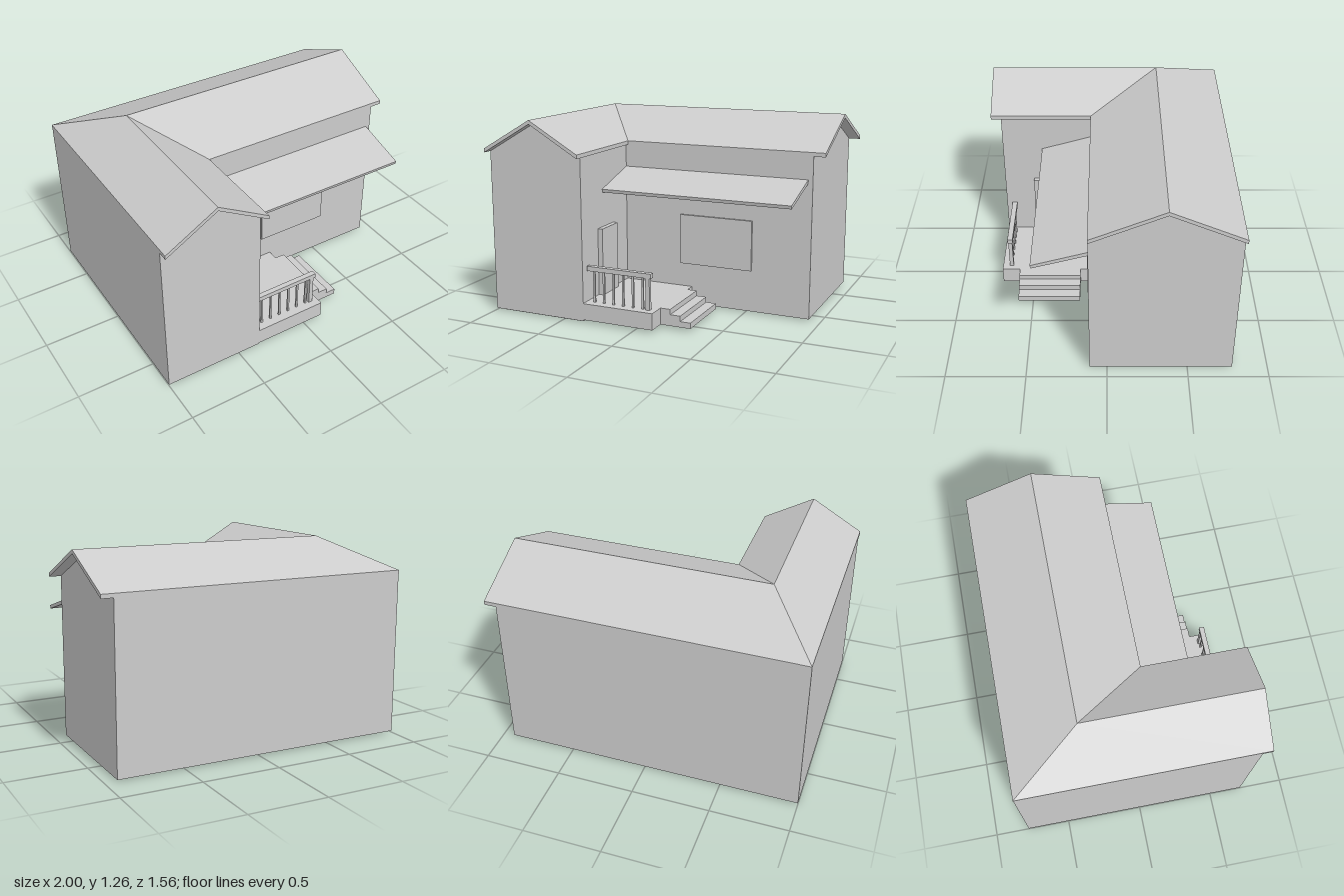
import * as THREE from 'three';

const grey = new THREE.MeshStandardMaterial({ color: 0xcccccc, flatShading: true });

export function createModel() {
  const house = new THREE.Group();
  house.name = 'house';

  const add = (name, geometry, parent = house) => {
    const mesh = new THREE.Mesh(geometry, grey);
    mesh.name = name;
    parent.add(mesh);
    return mesh;
  };

  // Box given by its limits on each axis
  const box = (name, [x0, x1], [y0, y1], [z0, z1], parent) =>
    add(name, new THREE.BoxGeometry(x1 - x0, y1 - y0, z1 - z0), parent)
      .position.set((x0 + x1) / 2, (y0 + y1) / 2, (z0 + z1) / 2);

  // L-shaped sweep: a ring of [lane, y] runs from the front gable, round the
  // mitred corner, to the side gable. Lanes: 0 outer, 1 ridge, 2 inner.
  const sweepL = (ring, caps, laneX, laneZ, frontZ, sideX) => {
    const stations = [
      ring.map(([l, y]) => [laneX[l], y, frontZ]),
      ring.map(([l, y]) => [laneX[l], y, laneZ[l]]),
      ring.map(([l, y]) => [sideX, y, laneZ[l]]),
    ];
    const pos = [];
    const tri = (a, b, c) => pos.push(...a, ...b, ...c);
    for (let s = 0; s < 2; s++) {
      const A = stations[s], B = stations[s + 1];
      for (let i = 0; i < ring.length; i++) {
        const j = (i + 1) % ring.length;
        tri(A[i], A[j], B[j]);
        tri(A[i], B[j], B[i]);
      }
    }
    for (const [a, b, c] of caps) {
      tri(stations[0][c], stations[0][b], stations[0][a]);
      tri(stations[2][a], stations[2][b], stations[2][c]);
    }
    const g = new THREE.BufferGeometry();
    g.setAttribute('position', new THREE.Float32BufferAttribute(pos, 3));
    g.computeVertexNormals();
    return g;
  };

  // Walls with both gables
  add('walls', sweepL(
    [[0, 0.01], [0, 1.045], [1, 1.237], [2, 1.045], [2, 0.01]],
    [[0, 1, 2], [0, 2, 3], [0, 3, 4]],
    [-1, -0.667, -0.352], [-0.778, -0.335, 0.11], 0.713, 0.925));

  // Roof sheet, overhanging at the gables
  add('roof', sweepL(
    [[0, 1.045], [0, 1.07], [1, 1.262], [2, 1.07], [2, 1.045], [1, 1.237]],
    [[0, 1, 2], [0, 2, 5], [5, 2, 3], [5, 3, 4]],
    [-1, -0.667, -0.337], [-0.78, -0.335, 0.11], 0.778, 1));

  // Inset foundation under the walls
  const slab = new THREE.Shape([
    [-0.965, 0.735], [-0.965, -0.69], [-0.39, -0.69],
    [-0.39, -0.07], [0.875, -0.07], [0.875, 0.735],
  ].map(([x, y]) => new THREE.Vector2(x, y)));
  const slabGeo = new THREE.ExtrudeGeometry(slab, { depth: 0.012, bevelEnabled: false });
  slabGeo.rotateX(-Math.PI / 2);
  add('foundation', slabGeo);

  // Sloping awning: side profile in z and y, drawn out along x
  const awning = new THREE.Shape([
    [0.11, 0.875], [0.11, 0.9], [0.445, 0.803], [0.44, 0.782],
  ].map(([z, y]) => new THREE.Vector2(-z, y)));
  const awningGeo = new THREE.ExtrudeGeometry(awning, { depth: 1.247, bevelEnabled: false });
  awningGeo.rotateY(Math.PI / 2);
  add('awning', awningGeo).position.x = -0.352;

  // Door and window
  box('door', [-0.36, -0.32], [0.125, 0.56], [0.305, 0.51]);
  box('window', [0.047, 0.54], [0.282, 0.61], [0.1, 0.124]);

  // Porch floor and steps
  const porch = new THREE.Group();
  porch.name = 'porch';
  house.add(porch);
  box('porchFloor', [-0.352, 0.125], [0.02, 0.126], [0.1, 0.716], porch);
  const stairs = new THREE.Shape([
    [0.125, 0.02], [0.325, 0.02], [0.325, 0.057], [0.257, 0.057],
    [0.257, 0.092], [0.19, 0.092], [0.19, 0.126], [0.125, 0.126],
  ].map(([x, y]) => new THREE.Vector2(x, y)));
  add('steps', new THREE.ExtrudeGeometry(stairs, { depth: 0.415, bevelEnabled: false }), porch)
    .position.z = 0.182;

  // Railing
  box('handrail', [-0.343, 0.097], [0.328, 0.358], [0.64, 0.674], porch);
  for (let i = 0; i < 6; i++) {
    const x = -0.3 + i * 0.067;
    box('baluster', [x - 0.006, x + 0.006], [0.126, 0.328], [0.651, 0.663], porch);
  }
  box('railPost', [0.058, 0.085], [0.126, 0.328], [0.644, 0.67], porch);

  return house;
}
